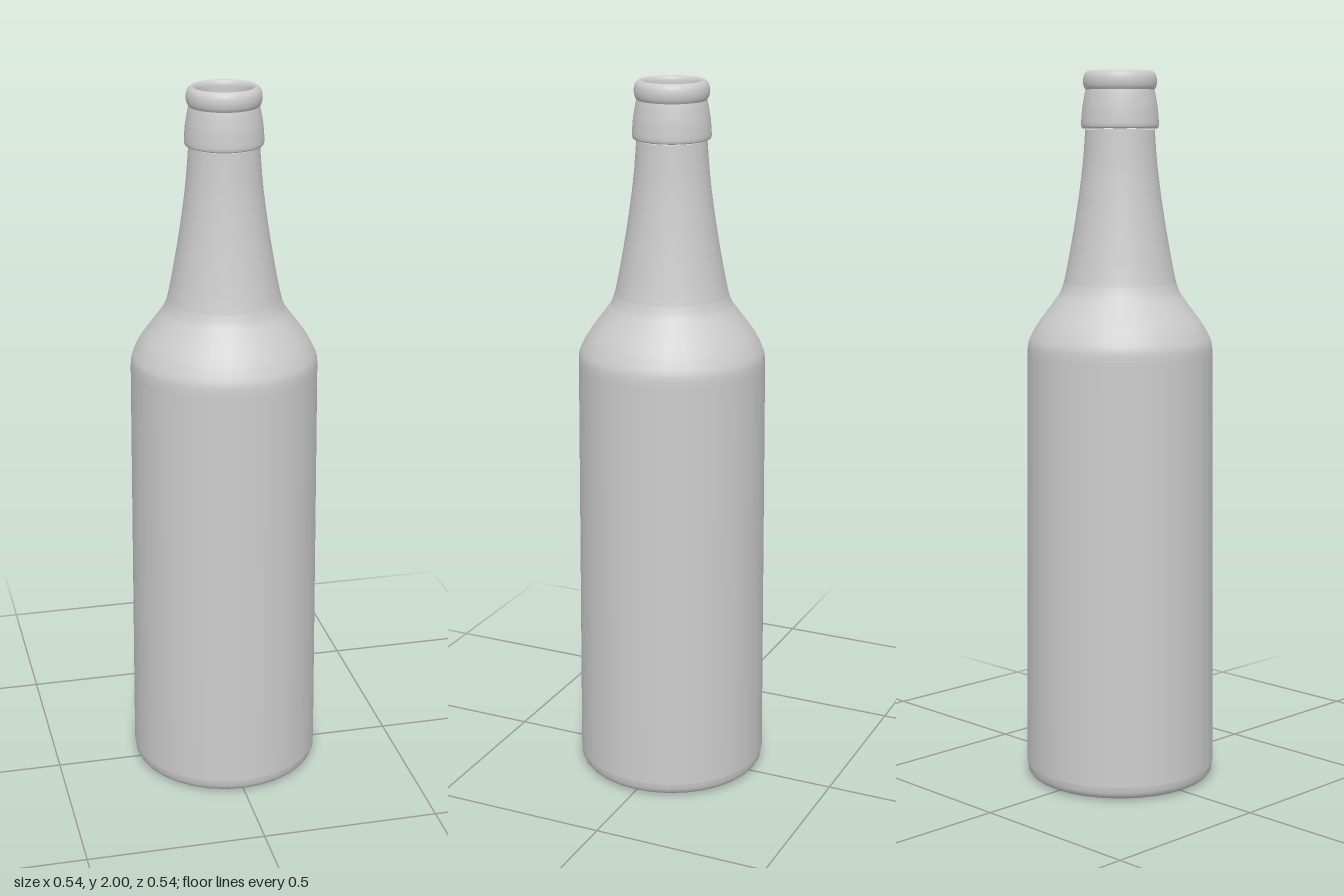
import * as THREE from 'three';

const SIDES = 32;

export function createModel() {
  const bottle = new THREE.Group();
  bottle.name = 'bottle';
  const glass = new THREE.MeshStandardMaterial({ color: 0xcccccc });
  glass.name = 'grey glass';

  // Revolves a [radius, height] profile; smooth profiles are resampled along a spline
  const turn = (name, profile, samples = 0) => {
    let points = profile.map(([r, y]) => new THREE.Vector2(r, y));
    if (samples) points = new THREE.SplineCurve(points).getPoints(samples);
    const mesh = new THREE.Mesh(new THREE.LatheGeometry(points, SIDES), glass);
    mesh.name = name;
    bottle.add(mesh);
  };

  // Flat underside and rounded heel
  turn('base', [[0, 0], [0.235, 0]]);
  turn('heel', [[0.235, 0], [0.252, 0.005], [0.264, 0.018], [0.268, 0.04]], 8);

  // Slightly tapering body
  turn('body', [[0.268, 0.04], [0.26, 1.22]]);

  // Rounded shoulder flaring in to the neck
  turn('shoulder', [
    [0.26, 1.22], [0.257, 1.25], [0.244, 1.28], [0.226, 1.31],
    [0.185, 1.365], [0.168, 1.39], [0.158, 1.415],
  ], 24);
  turn('neck', [
    [0.158, 1.415], [0.146, 1.47], [0.123, 1.6], [0.105, 1.73], [0.096, 1.84],
  ], 16);

  // Collar ring below the mouth
  turn('collar', [
    [0.094, 1.843], [0.103, 1.843], [0.107, 1.849], [0.107, 1.865],
    [0.104, 1.9], [0.098, 1.935], [0.095, 1.948],
  ], 20);

  // Rolled lip, curving over into the mouth
  turn('lip', [
    [0.095, 1.948], [0.1, 1.957], [0.102, 1.972], [0.099, 1.988],
    [0.09, 1.999], [0.083, 1.998], [0.078, 1.99], [0.077, 1.98],
  ], 24);
  turn('mouthWall', [[0.077, 1.98], [0.077, 1.962]]);
  turn('mouthFloor', [[0.077, 1.962], [0, 1.962]]);

  return bottle;
}
